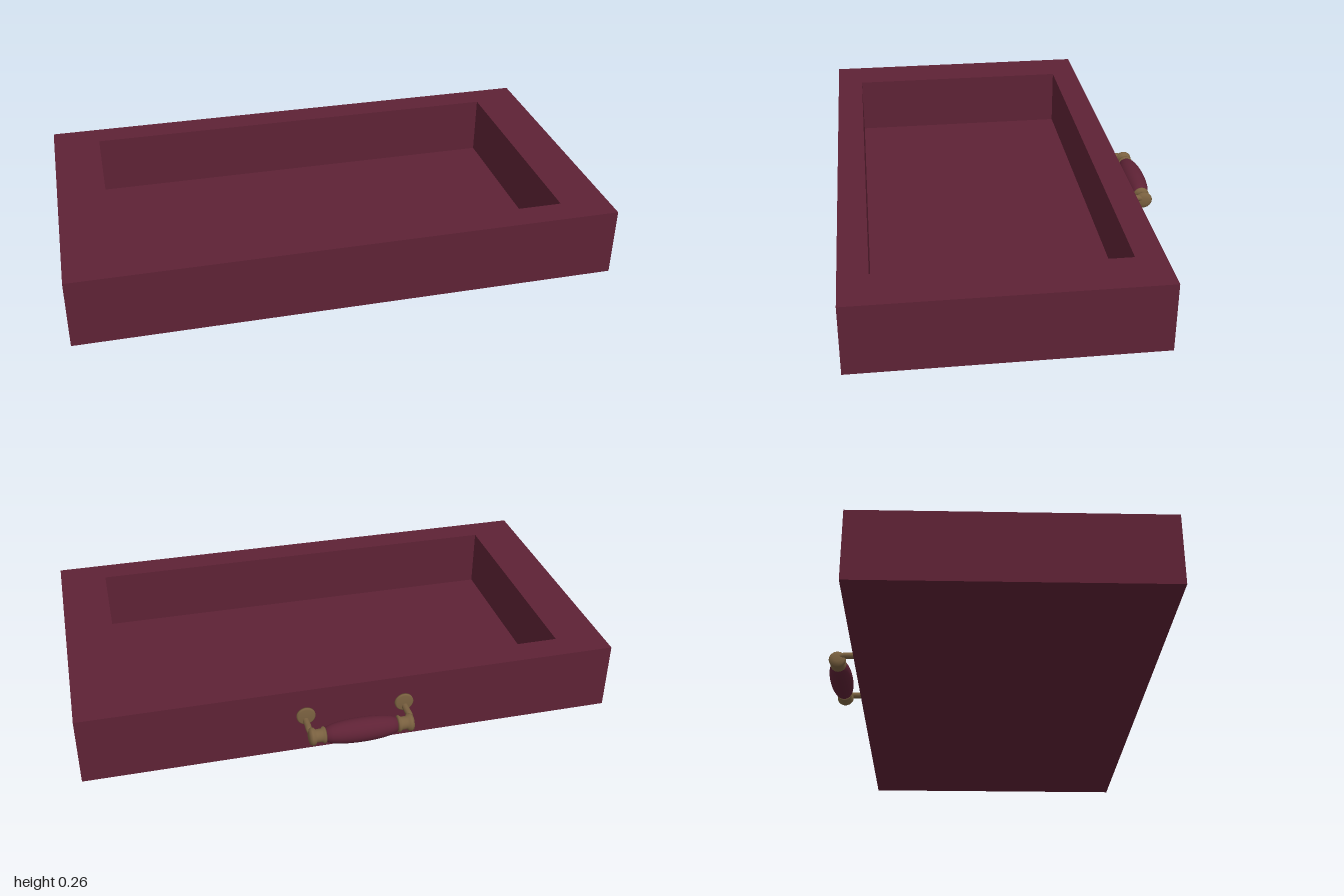
import * as THREE from 'three';

const maroon = new THREE.MeshStandardMaterial({ name: 'maroon', color: 0x5e2235 });
const brass = new THREE.MeshStandardMaterial({ name: 'agedBrass', color: 0x7a6140 });

const HEIGHT = 0.26, FLOOR = 0.03;
const BACK = -0.48, FRONT = 0.615;
const GRIP_Y = 0.12, GRIP_Z = -0.57;

function add(parent, name, geometry, material, x = 0, y = 0, z = 0) {
  const mesh = new THREE.Mesh(geometry, material);
  mesh.name = name;
  mesh.position.set(x, y, z);
  parent.add(mesh);
  return mesh;
}

function rectangle(PathType, halfWidth, z0, z1) {
  // shape y is -z, so the extrusion can be laid flat
  return new PathType([[-halfWidth, -z1], [halfWidth, -z1], [halfWidth, -z0], [-halfWidth, -z0]]
    .map(([x, y]) => new THREE.Vector2(x, y)));
}

const lathe = (points, segments = 32) =>
  new THREE.LatheGeometry(points.map(([r, y]) => new THREE.Vector2(r, y)), segments);

function createTray() {
  const tray = new THREE.Group();
  tray.name = 'tray';
  // thick rim around the recess
  const rim = rectangle(THREE.Shape, 1, BACK, FRONT);
  rim.holes.push(rectangle(THREE.Path, 0.82, -0.375, 0.51));
  const rimGeometry = new THREE.ExtrudeGeometry(rim, { depth: HEIGHT, bevelEnabled: false });
  add(tray, 'rim', rimGeometry.rotateX(-Math.PI / 2), maroon);
  // recessed floor
  add(tray, 'floor', new THREE.BoxGeometry(1.64, FLOOR, 0.885), maroon, 0, FLOOR / 2, 0.0675);
  return tray;
}

function createHandle() {
  const handle = new THREE.Group();
  handle.name = 'handle';

  // spindle-shaped grip
  const gripProfile = [];
  for (let i = 0; i <= 20; i++) {
    const t = -1 + i / 10;
    gripProfile.push([0.018 + 0.027 * Math.sqrt(1 - t * t), t * 0.14]);
  }
  add(handle, 'grip', lathe(gripProfile), maroon, 0, GRIP_Y, GRIP_Z).rotation.z = -Math.PI / 2;

  // turned collars, bent posts and mounting plates on both sides
  const collar = lathe([[0, 0.132], [0.026, 0.132], [0.031, 0.137], [0.031, 0.142], [0.025, 0.148],
    [0.024, 0.168], [0.032, 0.174], [0.033, 0.184], [0.028, 0.192], [0.014, 0.196], [0, 0.196]]);
  const plate = lathe([[0, 0], [0.035, 0], [0.035, 0.007], [0.03, 0.011], [0, 0.011]]);
  for (const side of [-1, 1]) {
    const name = side > 0 ? 'left' : 'right';
    add(handle, name + 'Collar', collar, brass, 0, GRIP_Y, GRIP_Z).rotation.z = -side * Math.PI / 2;
    const path = new THREE.CatmullRomCurve3([
      [0.187, 0.134, BACK], [0.187, 0.134, -0.52], [0.187, 0.133, -0.55], [0.18, 0.125, -0.568],
    ].map(([x, y, z]) => new THREE.Vector3(side * x, y, z)));
    add(handle, name + 'Post', new THREE.TubeGeometry(path, 12, 0.012, 12), brass);
    add(handle, name + 'Plate', plate, brass, side * 0.185, 0.15, BACK).rotation.x = -Math.PI / 2;
  }
  return handle;
}

export function createModel() {
  const model = new THREE.Group();
  model.name = 'trayWithHandle';
  model.add(createTray(), createHandle());
  return model;
}
